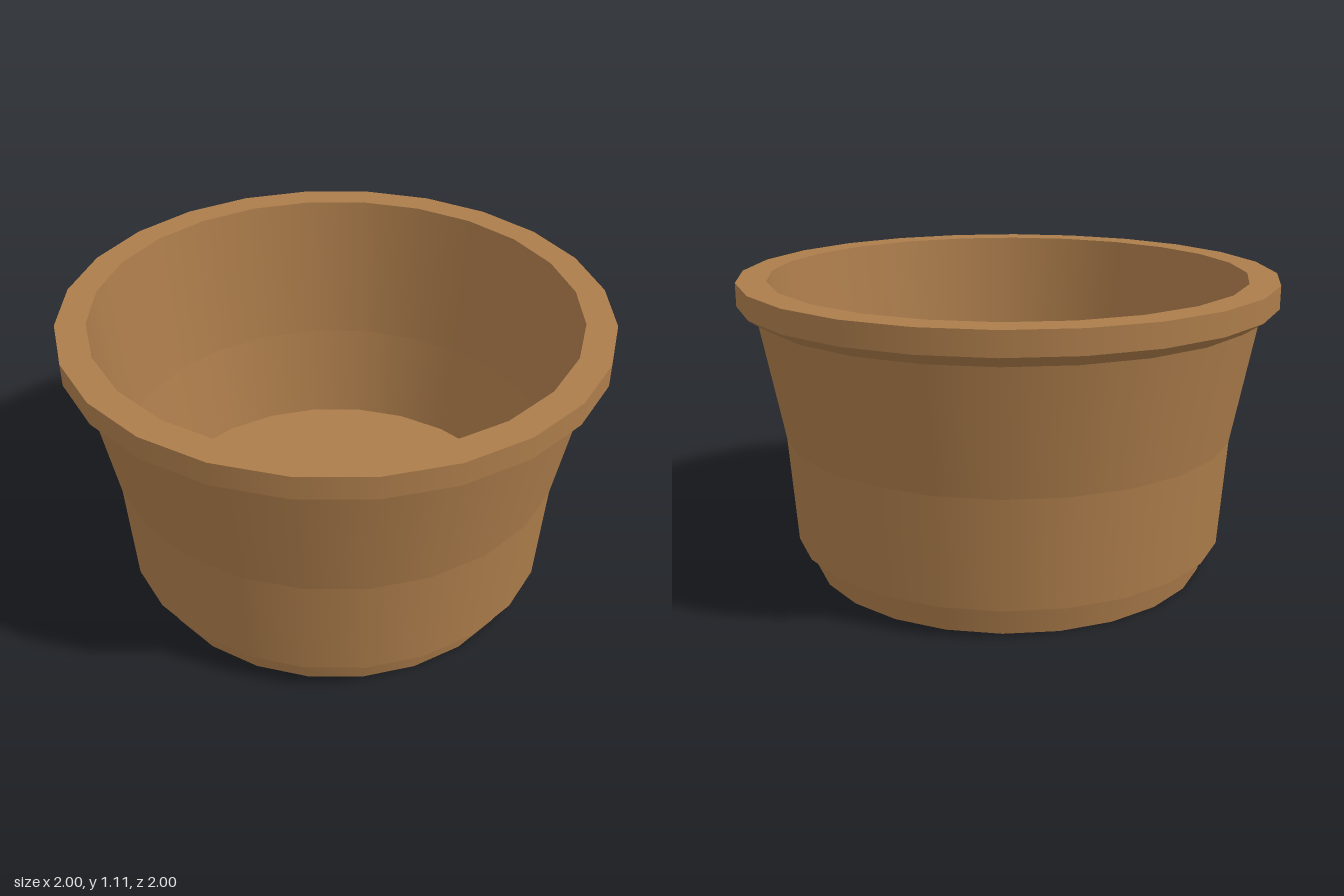
import * as THREE from 'three';

const SIDES = 24;

export function createModel() {
  const model = new THREE.Group();
  model.name = 'pot';
  const clay = new THREE.MeshStandardMaterial({ color: 0xad7d4b });
  clay.name = 'clay brown';

  // Profile rings [name of the band ending here, radius, height],
  // from the base centre, up the outside and down the inside
  const profile = [
    [null, 0, 0],
    ['baseUnderside', 0.755, 0],
    ['foot', 0.778, 0.115],
    ['footLedge', 0.82, 0.115],
    ['lowerWall', 0.847, 0.52],
    ['upperWall', 0.932, 0.98],
    ['rimUnderside', 1, 1.025],
    ['rimSide', 1, 1.11],
    ['rimTop', 0.89, 1.11],
    ['upperInnerWall', 0.835, 0.515],
    ['lowerInnerWall', 0.775, 0.13],
    ['floor', 0, 0.13],
  ];

  // One lathe per band: smooth around the pot, crisp between bands
  for (let i = 1; i < profile.length; i++) {
    const ends = [profile[i - 1], profile[i]].map(([, r, y]) => new THREE.Vector2(r, y));
    const band = new THREE.Mesh(new THREE.LatheGeometry(ends, SIDES), clay);
    band.name = profile[i][0];
    model.add(band);
  }
  return model;
}
